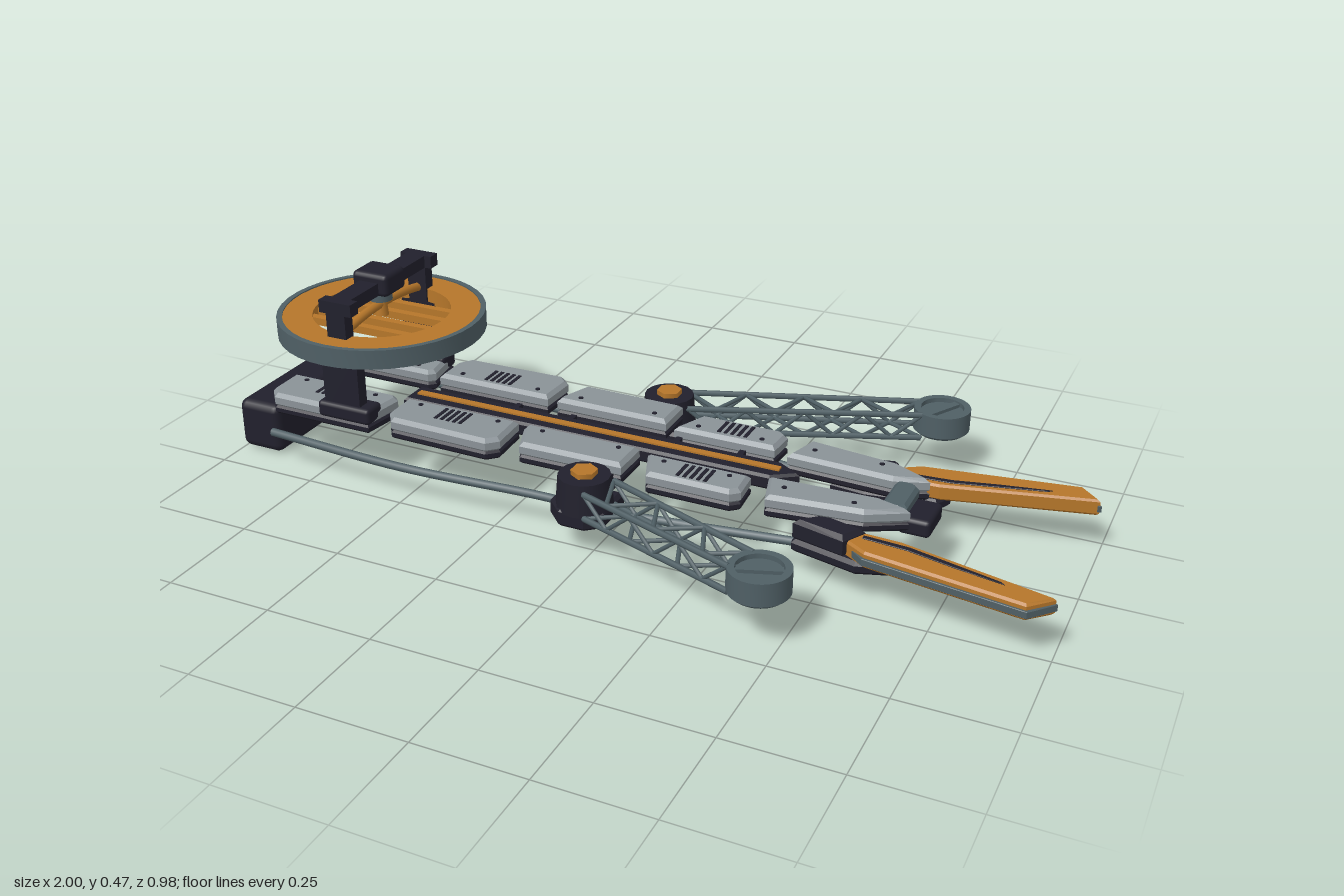
import * as THREE from 'three';
import { toCreasedNormals } from 'three/addons/utils/BufferGeometryUtils.js';
import { RoundedBoxGeometry } from 'three/addons/geometries/RoundedBoxGeometry.js';

const mat = (name, color) => {
  const m = new THREE.MeshStandardMaterial({ color });
  m.name = name;
  return m;
};
const dark = mat('charcoal', 0x21202c);
const steel = mat('blue steel', 0x4f5f65);
const grey = mat('plate grey', 0x8a9297);
const amber = mat('amber', 0xb5762a);

export function createModel() {
  const root = new THREE.Group();
  root.name = 'craft';
  const body = new THREE.Group();
  body.name = 'body';
  body.position.z = 0.02;
  root.add(body);

  const add = (name, geo, material, x = 0, y = 0, z = 0, parent = body) => {
    const m = new THREE.Mesh(geo, material);
    m.name = name;
    m.position.set(x, y, z);
    parent.add(m);
    return m;
  };
  const box = (name, w, h, d, material, x, y, z, parent) =>
    add(name, new THREE.BoxGeometry(w, h, d), material, x, y, z, parent);
  const round = (name, w, h, d, r, material, x, y, z) =>
    add(name, new RoundedBoxGeometry(w, h, d, 2, r), material, x, y, z);
  const disc = (name, r, h, n, material, x, y, z, parent) =>
    add(name, new THREE.CylinderGeometry(r, r, h, n), material, x, y, z, parent);
  // Plan outline [x, z] extruded from y0 to y1 with a bevelled edge
  const slab = (name, pts, s, y0, y1, b, material) => {
    const shape = new THREE.Shape(pts.map(([x, z]) => new THREE.Vector2(x, z * s)));
    const geo = new THREE.ExtrudeGeometry(shape, {
      depth: y1 - y0 - 2 * b, bevelThickness: b, bevelSize: b, bevelOffset: -b, bevelSegments: 1,
    });
    geo.rotateX(Math.PI / 2).translate(0, y1 - b, 0);
    return add(name, geo, material);
  };
  const lathe = (name, pts, material, x, z, parent) => add(name, toCreasedNormals(
    new THREE.LatheGeometry(pts.map(p => new THREE.Vector2(...p)), 40), 0.6), material, x, 0, z, parent);
  const rod = (name, a, b, r, material, parent = body) => {
    const A = new THREE.Vector3(...a), d = new THREE.Vector3(...b).sub(A);
    const m = add(name, new THREE.CylinderGeometry(r, r, d.length(), 6), material, 0, 0, 0, parent);
    m.position.copy(A).addScaledVector(d, 0.5);
    m.quaternion.setFromUnitVectors(new THREE.Vector3(0, 1, 0), d.normalize());
  };

  // Rear block with two small feet
  round('rearBlock', 0.115, 0.125, 0.31, 0.02, dark, -0.9425, 0.068, 0.002);
  for (const z of [-0.1, 0.1]) round('rearFoot', 0.08, 0.02, 0.08, 0.008, dark, -0.9425, 0.01, z);

  // Central spine, its stripe and cross pins
  slab('spine', [[-0.6, -0.038], [0.33, -0.038], [0.385, 0], [0.33, 0.038], [-0.6, 0.038]], 1, 0.13, 0.165, 0.006, dark);
  box('spineStripe', 0.92, 0.006, 0.018, amber, -0.12, 0.166, 0);
  for (const x of [-0.345, -0.2, 0.07, 0.225]) box('crossPin', 0.014, 0.014, 0.14, dark, x, 0.148, 0);

  // Nose bracket
  slab('noseBar', [[0.585, -0.06], [0.625, -0.06], [0.64, -0.045], [0.64, 0.045], [0.625, 0.06], [0.585, 0.06]], 1, 0.138, 0.17, 0.008, steel);
  round('noseBlock', 0.07, 0.04, 0.1, 0.01, dark, 0.658, 0.122, 0);

  // Ring wheel on the rear mast
  const wx = -0.67;
  lathe('wheelRim', [[0.232, 0.32], [0.245, 0.32], [0.245, 0.366], [0.232, 0.366], [0.232, 0.32]], steel, wx, 0);
  lathe('wheelFace', [[0.162, 0.324], [0.234, 0.324], [0.234, 0.363], [0.162, 0.363], [0.162, 0.324]], amber, wx, 0);
  for (const z of [-0.08, -0.028, 0.028, 0.08])
    box('wheelSlat', 2 * Math.sqrt(0.165 ** 2 - z * z), 0.018, 0.019, amber, wx, 0.346, z);
  const arch = new THREE.QuadraticBezierCurve3(
    new THREE.Vector3(wx, 0.364, -0.165), new THREE.Vector3(wx, 0.4, 0), new THREE.Vector3(wx, 0.364, 0.165));
  add('wheelArch', new THREE.TubeGeometry(arch, 16, 0.011, 8), amber);
  add('wheelBoss', new THREE.CylinderGeometry(0.012, 0.016, 0.045, 16), amber, wx, 0.375, 0);
  disc('wheelHub', 0.027, 0.03, 20, steel, wx, 0.407, 0);
  box('mastBeam', 0.05, 0.03, 0.36, dark, wx, 0.435, 0);
  round('mastCap', 0.095, 0.055, 0.084, 0.012, dark, wx, 0.443, 0.003);

  for (const s of [-1, 1]) {
    // Mast post and its foot
    box('mastHead', 0.085, 0.03, 0.03, dark, wx, 0.435, s * 0.17);
    box('mastPostUpper', 0.05, 0.12, 0.03, dark, wx, 0.375, s * 0.17);
    box('mastPostLower', 0.095, 0.16, 0.03, dark, wx, 0.25, s * 0.17);
    round('mastFoot', 0.14, 0.04, 0.06, 0.01, dark, wx + 0.005, 0.178, s * 0.165);

    // Armour plates over dark trays
    const plates = [
      [[-0.885, 0.07], [-0.6, 0.07], [-0.585, 0.085], [-0.6, 0.19], [-0.86, 0.19], [-0.885, 0.16]],
      [[-0.565, 0.07], [-0.27, 0.07], [-0.265, 0.165], [-0.29, 0.19], [-0.54, 0.185], [-0.565, 0.15]],
      [[-0.245, 0.07], [0.035, 0.07], [0.035, 0.165], [-0.215, 0.168], [-0.245, 0.09]],
      [[0.055, 0.07], [0.3, 0.07], [0.305, 0.14], [0.285, 0.158], [0.09, 0.158]],
      [[0.335, 0.055], [0.58, 0.045], [0.655, 0.072], [0.57, 0.12], [0.36, 0.145]],
    ];
    plates.forEach((p, i) => {
      const top = i < 3 ? 0.188 : 0.178;
      slab('plate', p, s, top - 0.035, top, 0.009, grey);
      slab('plateTray', p, s, top - 0.052, top - 0.03, 0.006, dark);
      const [x0, x1] = [p[0][0], p[1][0]];
      // Vent slits and corner studs
      if (i === 0 || i === 1 || i === 3)
        for (let k = 0; k < 5; k++)
          box('ventSlit', 0.008, 0.004, 0.055, dark, (x0 + x1) / 2 - 0.03 + k * 0.016 + (i === 3 ? 0.01 : 0), top, s * 0.115);
      for (const x of [x0 + 0.05, x1 - 0.04]) disc('plateStud', 0.006, 0.004, 8, dark, x, top, s * 0.095);
    });

    // Side hose
    const path = new THREE.CatmullRomCurve3([[-0.875, 0.192], [-0.5, 0.215], [-0.15, 0.198], [0, 0.2], [0.2, 0.178], [0.47, 0.14]]
      .map(([x, z]) => new THREE.Vector3(x, 0.085, s * z)));
    add('sideHose', new THREE.TubeGeometry(path, 40, 0.01, 8), steel);

    // Arm pivot
    const hx = -0.025, hz = s * 0.222;
    slab('pivotBase', [[-0.1, 0.15], [0.035, 0.15], [0.035, 0.25], [0, 0.28], [-0.06, 0.28], [-0.1, 0.24]], s, 0.07, 0.115, 0.008, dark);
    add('pivotDrum', new THREE.CylinderGeometry(0.058, 0.064, 0.075, 16), dark, hx, 0.142, hz);
    box('pivotMount', 0.09, 0.04, 0.09, dark, -0.03, 0.14, s * 0.16);
    disc('pivotBolt', 0.03, 0.014, 6, amber, hx, 0.184, hz);

    // Lattice arm ending in a drum
    const end = s < 0 ? [0.575, -0.45] : [0.45, 0.4];
    const dx = end[0] - hx, dz = end[1] - hz, len = Math.hypot(dx, dz);
    const arm = new THREE.Group();
    arm.name = 'latticeArm';
    arm.position.set(hx, 0, hz);
    arm.rotation.y = -Math.atan2(dz, dx);
    body.add(arm);
    const a = 0.045, b = len - 0.05, n = s < 0 ? 8 : 6;
    const node = (k, side, y) => [a + (b - a) * k / n, y, side * (0.045 - 0.008 * k / n)];
    for (const side of [-1, 1]) {
      for (const y of [0.105, 0.163]) rod('armChord', node(0, side, y), node(n, side, y), 0.007, steel, arm);
      for (let k = 0; k < n; k++) {
        const [p, q] = k % 2 ? [0.105, 0.163] : [0.163, 0.105];
        rod('armSideBrace', node(k, side, p), node(k + 1, side, q), 0.005, steel, arm);
      }
    }
    // Upper and lower braces cross each other in plan
    for (let k = 0; k < n; k++)
      for (const y of [0.105, 0.163]) {
        const d = (k % 2 ? 1 : -1) * (y > 0.13 ? 1 : -1);
        rod('armBrace', node(k, d, y), node(k + 1, -d, y), 0.005, steel, arm);
      }
    lathe('armDrum', [[0, 0.108], [0.057, 0.108], [0.066, 0.116], [0.066, 0.168], [0.05, 0.168], [0.05, 0.157], [0, 0.157]], steel, len, 0, arm);
    box('drumBar', 0.095, 0.01, 0.018, steel, len, 0.16, 0, arm).rotation.y = 0.7;
    disc('drumBase', 0.03, 0.012, 16, steel, len, 0.103, 0, arm);

    // Front shoulder
    slab('shoulder', [[0.42, 0.11], [0.5, 0.1], [0.66, 0.125], [0.68, 0.165], [0.58, 0.2], [0.43, 0.165]], s, 0.07, 0.1, 0.008, dark);
    slab('shoulderTop', [[0.43, 0.16], [0.48, 0.108], [0.58, 0.135], [0.55, 0.19]], s, 0.095, 0.147, 0.01, dark);

    // Amber blade, steel outer edge and a narrow slot
    slab('blade', [[0.55, 0.128], [0.66, 0.133], [0.992, 0.214], [0.945, 0.262], [0.6, 0.208], [0.54, 0.17]], s, 0.097, 0.135, 0.005, amber);
    slab('bladeEdge', [[0.57, 0.19], [0.6, 0.203], [0.944, 0.257], [0.99, 0.21], [0.996, 0.214], [0.948, 0.268], [0.598, 0.214]], s, 0.106, 0.122, 0.001, steel);
    slab('bladeSlot', [[0.58, 0.145], [0.68, 0.152], [0.88, 0.203], [0.89, 0.211], [0.78, 0.19], [0.68, 0.166], [0.58, 0.157]], s, 0.129, 0.137, 0.001, dark);
  }
  return root;
}
